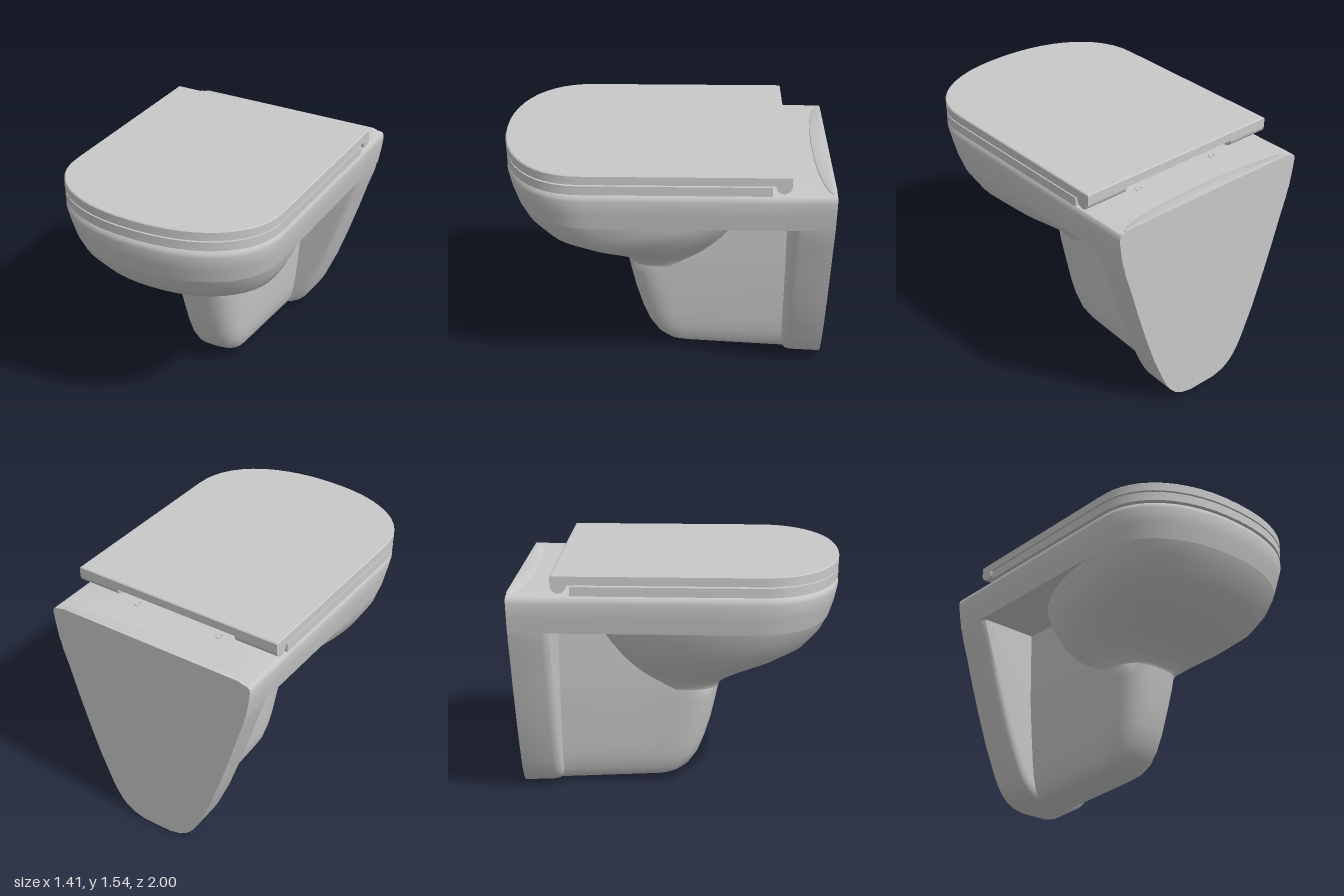
import * as THREE from 'three';
import { toCreasedNormals } from 'three/addons/utils/BufferGeometryUtils.js';

// Horizontal outline: superellipse front, elliptical or square back
function outline(y, w, zf, zc, zb, n = 2.2, square = false) {
  const pts = [], N = 48;
  for (let i = 0; i < N; i++) {
    const a = (i / N) * Math.PI * 2;
    const c = Math.cos(a), s = Math.sin(a);
    if (i <= N / 2) {
      const p = (v) => Math.sign(v) * Math.pow(Math.abs(v) < 1e-9 ? 0 : Math.abs(v), 2 / n);
      pts.push([w * p(c), y, zc + (zf - zc) * p(s)]);
    } else {
      const m = square ? Math.max(Math.abs(c), Math.abs(s)) : 1;
      pts.push([(w * c) / m, y, zc + ((zc - zb) * s) / m]);
    }
  }
  return pts;
}

// Skin over a list of equal-length rings, with optional end caps
function loft(rings, { capStart = true, capEnd = true, crease = 0.6 } = {}) {
  const n = rings[0].length, pos = rings.flat(2), idx = [];
  for (let r = 0; r < rings.length - 1; r++) {
    for (let j = 0; j < n; j++) {
      const a = r * n + j, b = r * n + ((j + 1) % n);
      idx.push(a, a + n, b, b, a + n, b + n);
    }
  }
  const cap = (r, flip) => {
    const mid = [0, 1, 2].map((k) => rings[r].reduce((s, p) => s + p[k], 0) / n);
    const c = pos.length / 3;
    pos.push(...mid);
    for (let j = 0; j < n; j++) {
      const a = r * n + j, b = r * n + ((j + 1) % n);
      idx.push(c, flip ? b : a, flip ? a : b);
    }
  };
  if (capStart) cap(0, false);
  if (capEnd) cap(rings.length - 1, true);
  const g = new THREE.BufferGeometry();
  g.setAttribute('position', new THREE.Float32BufferAttribute(pos, 3));
  g.setIndex(idx);
  return toCreasedNormals(g, crease);
}

export function createModel() {
  const group = new THREE.Group();
  const ceramic = new THREE.MeshStandardMaterial({ color: 0xc8c8c8 });
  ceramic.name = 'light grey ceramic';
  const add = (name, geo) => {
    const m = new THREE.Mesh(geo, ceramic);
    m.name = name;
    group.add(m);
    return m;
  };
  const U = (y, w, zf, zc, zb, n = 2.2) => outline(y, w, zf, zc, zb, n, true);

  // Deck: underside, outer band, rounded rim, then the inner basin
  add('deckAndBasin', loft([
    outline(1.18, 0.58, 0.85, 0.4, -0.5),
    U(1.18, 0.672, 0.95, 0.45, -1),
    U(1.28, 0.69, 0.982, 0.47, -1),
    U(1.37, 0.702, 1.0, 0.5, -1),
    U(1.393, 0.698, 0.996, 0.5, -1),
    U(1.406, 0.688, 0.986, 0.5, -1),
    U(1.41, 0.67, 0.968, 0.5, -1),
    outline(1.41, 0.45, 0.78, 0.3, -0.32),
    outline(1.36, 0.44, 0.77, 0.3, -0.31),
    outline(1.15, 0.42, 0.7, 0.3, -0.28),
    outline(0.95, 0.28, 0.5, 0.2, -0.18),
    outline(0.85, 0.12, 0.25, 0.12, 0),
  ], { capStart: false }));

  // Outer bowl: narrows from the deck down to the neck
  const bowl = [
    [0.67, 0.226, 0.258, 0.0, -0.23, 2.8],
    [0.69, 0.232, 0.268, 0.01, -0.245, 2.7],
    [0.73, 0.26, 0.32, 0.04, -0.28, 2.5],
    [0.8, 0.345, 0.455, 0.12, -0.355, 2.3],
    [0.9, 0.485, 0.665, 0.24, -0.43, 2.2],
    [1.0, 0.595, 0.82, 0.36, -0.5, 2.2],
    [1.1, 0.65, 0.908, 0.42, -0.565, 2.2],
    [1.19, 0.674, 0.953, 0.45, -0.605, 2.2],
  ];
  add('bowl', loft(bowl.map((r) => outline(...r)), { capEnd: false, crease: 0.8 }));

  // Neck and the web running back to the wall, with a sloping underside
  const neck = [
    [0.045, 0.08, -0.1, -0.2],
    [0.052, 0.115, -0.04, -0.16],
    [0.075, 0.145, 0.01, -0.14],
    [0.12, 0.168, 0.07, -0.12],
    [0.2, 0.185, 0.125, -0.1],
    [0.3, 0.197, 0.165, -0.08],
    [0.45, 0.21, 0.21, -0.05],
    [0.6, 0.222, 0.243, 0],
    [0.69, 0.228, 0.262, 0],
    [0.76, 0.23, 0.2, -0.1],
    [0.86, 0.232, -0.2, -0.3],
    [1.19, 0.24, -0.45, -0.5],
  ].map(([y, w, zf, zc]) => U(y, w, zf, zc, -0.8, 2.8).map(([x, py, z]) => {
    const t = Math.max(0, (-0.1 - z) / 0.9);
    return [x * (1 + 0.12 * t), py - 0.045 * t * Math.max(0, 1 - py / 0.6), z];
  }));
  add('neckAndWeb', loft(neck, { crease: 0.8 }));

  // Wall plate: tapered outline with a rounded front edge
  const half = [
    [0.672, 1.2], [0.655, 1.12], [0.615, 1.0], [0.555, 0.8], [0.49, 0.6], [0.42, 0.4],
    [0.335, 0.2], [0.305, 0.143], [0.27, 0.09], [0.23, 0.05], [0.18, 0.02], [0.1, 0],
  ];
  const full = [...half, ...half.map(([x, y]) => [-x, y]).reverse()];
  const plate = [[-1, 0], [-0.8, 0], [-0.772, 0.007], [-0.755, 0.022], [-0.75, 0.042]].map(([z, d]) =>
    full.map(([x, y]) => [x - Math.sign(x) * d, y + (d + (z + 1) * 0.05) * (1 - y / 1.2), z]));
  add('wallPlate', loft(plate));

  // Low curved ridge along the back of the deck
  add('rearRidge', loft([
    U(1.4, 0.66, -0.89, -0.985, -1, 2),
    U(1.414, 0.65, -0.9, -0.985, -1, 2),
    U(1.422, 0.62, -0.93, -0.985, -1, 2),
  ]));

  // Seat ring with an open centre
  const hole = (y) => outline(y, 0.43, 0.74, 0.3, -0.3);
  add('seat', loft([
    hole(1.418), U(1.418, 0.703, 0.998, 0.5, -0.62), U(1.475, 0.703, 0.998, 0.5, -0.62),
    hole(1.475), hole(1.418),
  ], { capStart: false, capEnd: false }));

  // Lid with a fine bevel around the top
  add('lid', loft([
    U(1.485, 0.705, 1.0, 0.5, -0.733),
    U(1.538, 0.705, 1.0, 0.5, -0.733),
    U(1.544, 0.699, 0.994, 0.5, -0.727),
  ]));

  // Hinge barrels and flat bolt rings, mirrored
  for (const side of [1, -1]) {
    const barrel = add('hingeBarrel', new THREE.CylinderGeometry(0.047, 0.047, 0.285, 24));
    barrel.rotation.z = Math.PI / 2;
    barrel.position.set(side * 0.5625, 1.483, -0.686);
    const ring = add('boltRing', new THREE.TorusGeometry(0.02, 0.005, 8, 20));
    ring.rotation.x = Math.PI / 2;
    ring.position.set(side * 0.295, 1.41, -0.7);
  }
  return group;
}
